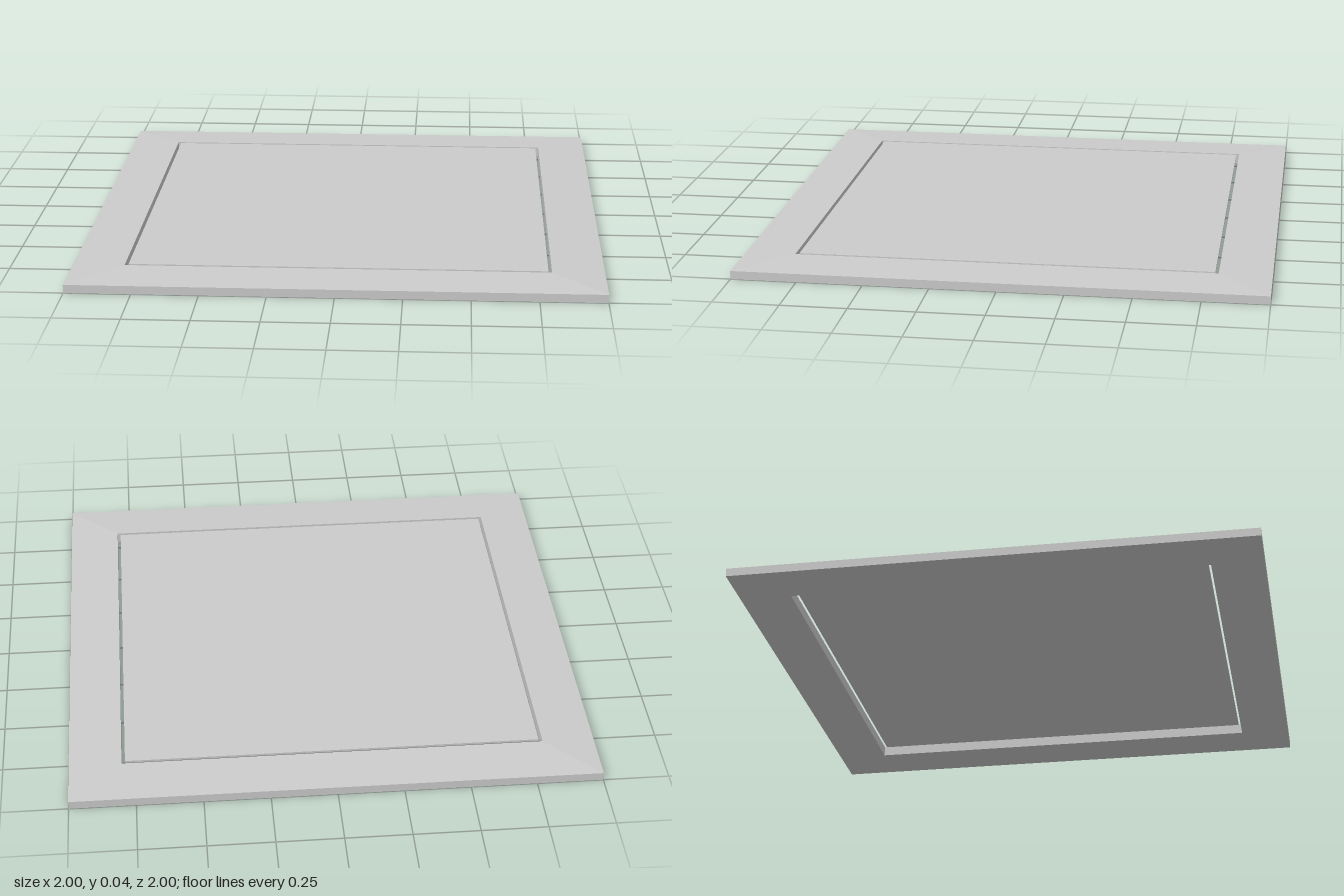
import * as THREE from 'three';

const OUTER = 1, INNER = 0.801, PANEL = 0.788;
const EDGE_H = 0.032, TOP_H = 0.041, PANEL_T = 0.008;

export function createModel() {
  const model = new THREE.Group();
  const material = new THREE.MeshStandardMaterial({ color: 0xcccccc, flatShading: true });

  // Mitred square frame: a four-sided lathe of a closed section, sloping down outwards
  const section = [
    [INNER, 0], [OUTER, 0], [OUTER, EDGE_H], [INNER, TOP_H], [INNER, 0],
  ].map(([r, y]) => new THREE.Vector2(r * Math.SQRT2, y));
  const frame = new THREE.Mesh(new THREE.LatheGeometry(section, 4, Math.PI / 4), material);
  frame.name = 'frame';
  model.add(frame);

  // Thin panel set level with the top of the frame, with a narrow open gap around it
  const panel = new THREE.Mesh(new THREE.BoxGeometry(PANEL * 2, PANEL_T, PANEL * 2), material);
  panel.name = 'panel';
  panel.position.y = TOP_H - PANEL_T / 2;
  model.add(panel);

  return model;
}
